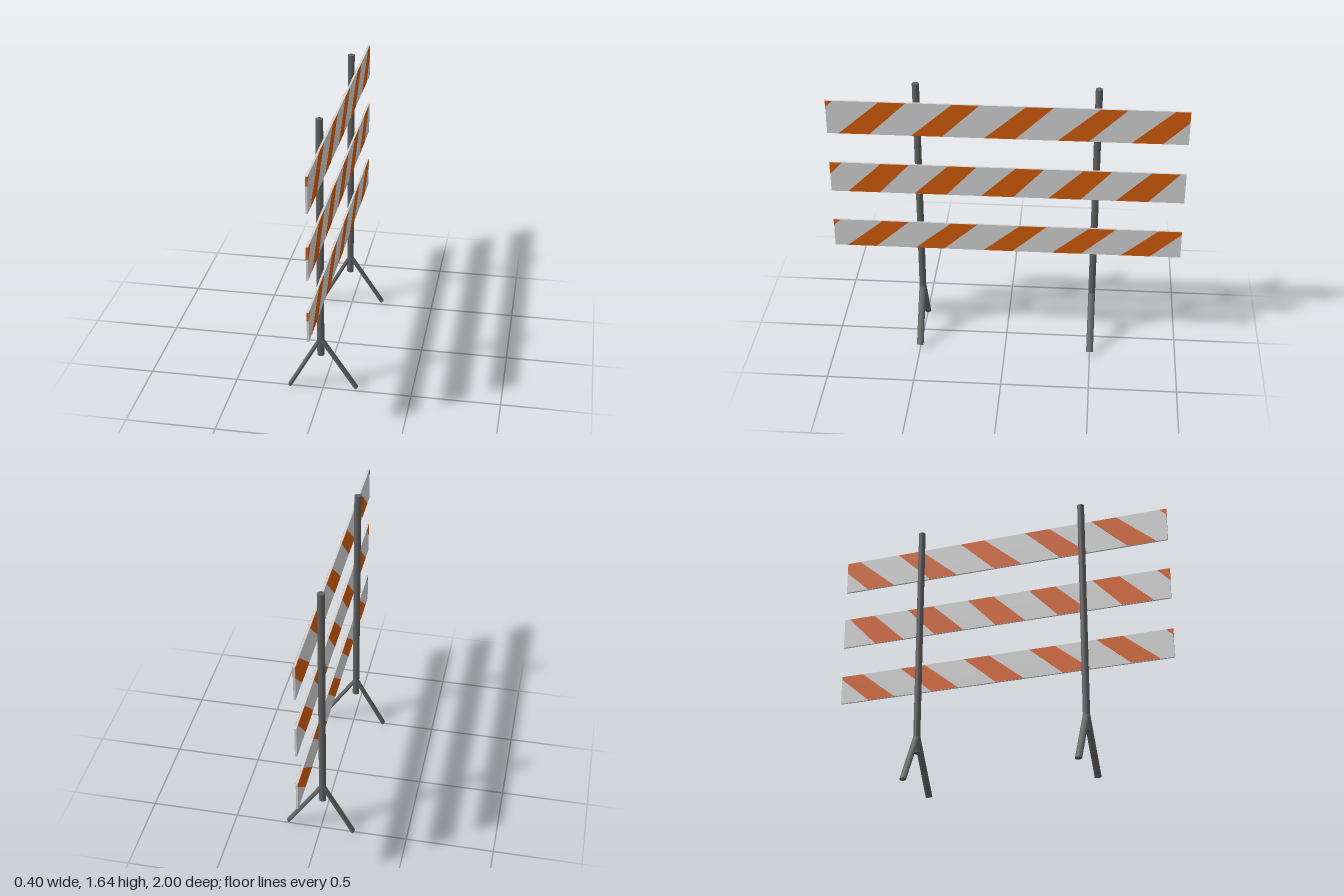
import * as THREE from 'three';

const steel = new THREE.MeshStandardMaterial({ name: 'dark steel', color: 0x606060 });
const white = new THREE.MeshStandardMaterial({ name: 'pale board', color: 0xd2d2d2 });
const orange = new THREE.MeshStandardMaterial({ name: 'orange stripe', color: 0xd25c0c });

const POLE_X = -0.012;
const BOARD_X = 0.016;
const BOARD_T = 0.011;
const SKIN = 0.001; // how far painted stripes stand proud of the board

function addMesh(parent, name, geometry, material) {
  const mesh = new THREE.Mesh(geometry, material);
  mesh.name = name;
  parent.add(mesh);
  return mesh;
}

// Keeps the part of a convex outline where sign * s <= 1
function clip(points, sign) {
  const out = [];
  points.forEach((p, i) => {
    const q = points[(i + 1) % points.length];
    const pIn = sign * p.x <= 1, qIn = sign * q.x <= 1;
    if (pIn) out.push(p);
    if (pIn !== qIn) out.push(p.clone().lerp(q, (sign - p.x) / (q.x - p.x)));
  });
  return out;
}

// Flattened leg tube from the pole to a foot
function addLeg(parent, name, footX, footY) {
  const top = new THREE.Vector3(POLE_X, 0.325, 0);
  const foot = new THREE.Vector3(footX, footY, 0);
  const dir = top.clone().sub(foot);
  const geometry = new THREE.CylinderGeometry(0.02, 0.02, dir.length(), 20);
  geometry.scale(0.57, 1, 1);
  const leg = addMesh(parent, name, geometry, steel);
  leg.position.copy(top).add(foot).multiplyScalar(0.5);
  leg.quaternion.setFromUnitVectors(new THREE.Vector3(0, 1, 0), dir.normalize());
}

function makeStand(name, z) {
  const stand = new THREE.Group();
  stand.name = name;
  stand.position.z = z;
  const pole = addMesh(stand, 'pole', new THREE.CylinderGeometry(0.02, 0.02, 1.415, 24), steel);
  pole.position.set(POLE_X, 0.9275, 0);
  addLeg(stand, 'innerLeg', -0.19, 0.0055);
  addLeg(stand, 'outerLeg', 0.19, 0.024);
  return stand;
}

// Board with slanted stripes; s runs along the board from z = 1 to z = -1
function makeBoard({ name, y0, y1, bottom, top, period, endPatch }) {
  const board = new THREE.Group();
  board.name = name;
  const plank = addMesh(board, 'plank', new THREE.BoxGeometry(BOARD_T, y1 - y0, 1.998), white);
  plank.position.set(BOARD_X, (y0 + y1) / 2, 0);

  const lo = y0 + SKIN, hi = y1 - SKIN;
  for (let k = -1; k < 5; k++) {
    const d = k * period;
    let outline = [
      new THREE.Vector2(bottom[0] + d, lo), new THREE.Vector2(bottom[1] + d, lo),
      new THREE.Vector2(top[1] + d, hi), new THREE.Vector2(top[0] + d, hi),
    ];
    outline = clip(clip(outline, 1), -1).map((p) => p.setX(p.x * 0.9985));
    const geometry = new THREE.ExtrudeGeometry(new THREE.Shape(outline), {
      depth: BOARD_T + 2 * SKIN, bevelEnabled: false,
    });
    geometry.rotateY(Math.PI / 2);
    addMesh(board, 'stripe', geometry, orange).position.x = BOARD_X - BOARD_T / 2 - SKIN;
  }

  // Stripe wrapping round the front end
  const patch = addMesh(board, 'endStripe', new THREE.BoxGeometry(BOARD_T, endPatch, 0.002), orange);
  patch.position.set(BOARD_X, y1 - endPatch / 2, 0.999);
  return board;
}

export function createModel() {
  const model = new THREE.Group();
  model.name = 'roadBarricade';

  model.add(makeStand('frontStand', 0.5), makeStand('backStand', -0.5));

  [
    { name: 'upperBoard', y0: 1.33, y1: 1.53, bottom: [-0.936, -0.765], top: [-0.706, -0.556], period: 0.406, endPatch: 0.05 },
    { name: 'middleBoard', y0: 0.96, y1: 1.145, bottom: [-0.904, -0.722], top: [-0.711, -0.551], period: 0.38, endPatch: 0.068 },
    { name: 'lowerBoard', y0: 0.598, y1: 0.77, bottom: [-0.925, -0.759], top: [-0.717, -0.564], period: 0.396, endPatch: 0.047 },
  ].forEach((spec) => model.add(makeBoard(spec)));

  return model;
}
